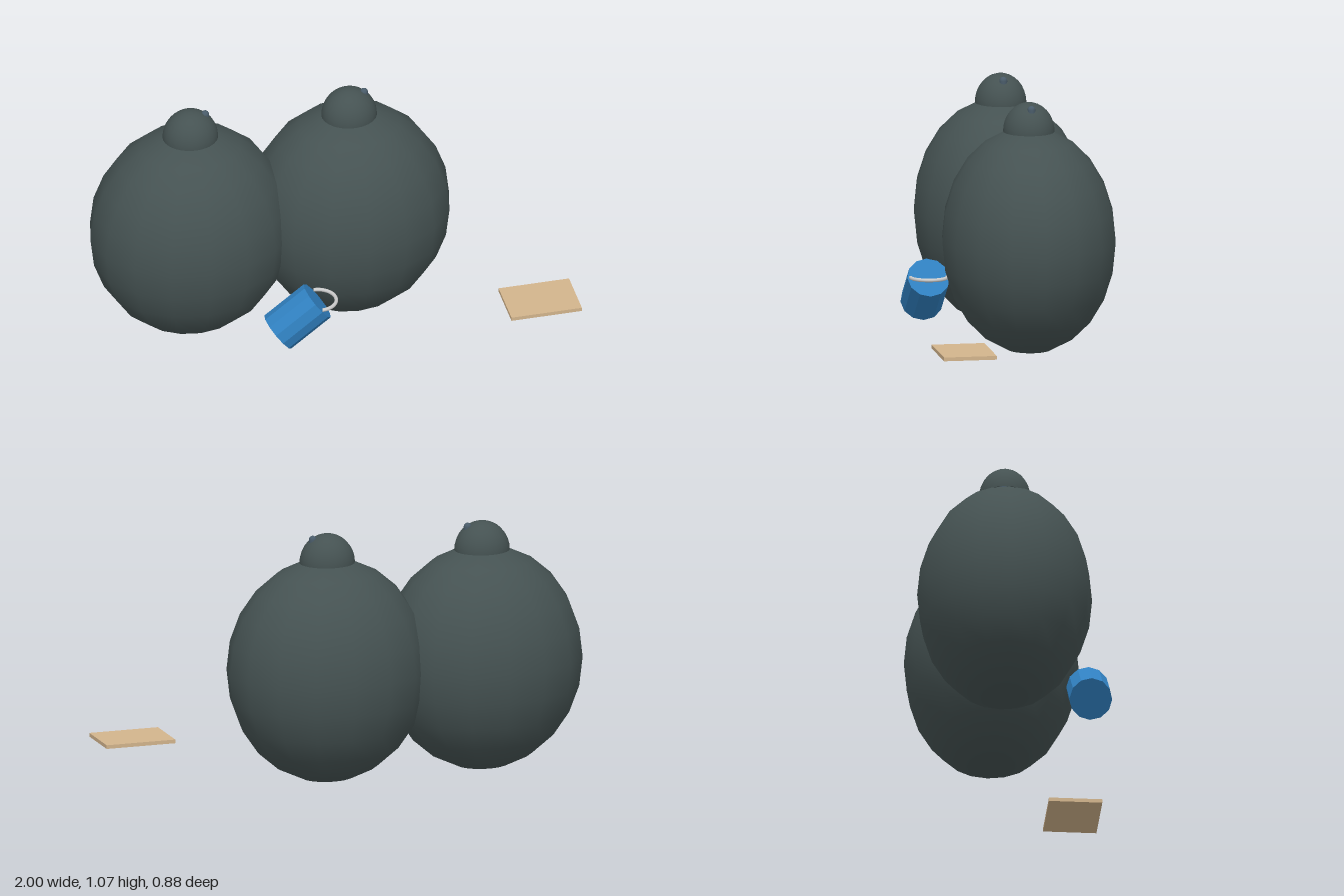
import * as THREE from 'three';

const DARK = 0x455252, KNOB = 0x4a5c6a, BLUE = 0x3080c0, TAN = 0xd2b48c, GREY = 0xcccccc;

function add(parent, name, geometry, color, options = {}) {
  const mesh = new THREE.Mesh(geometry, new THREE.MeshStandardMaterial({ color, ...options }));
  mesh.name = name;
  parent.add(mesh);
  return mesh;
}

// Egg-shaped vessel with a domed cap and a tiny rounded knob
function makeVessel(x) {
  const vessel = new THREE.Group();
  vessel.name = 'vessel';
  vessel.position.set(x, 0, -0.072);

  const body = add(vessel, 'body', new THREE.SphereGeometry(1, 16, 12), DARK);
  body.scale.set(0.432, 0.481, 0.369);
  body.position.y = 0.481;

  const dome = add(vessel, 'dome',
    new THREE.SphereGeometry(1, 24, 8, 0, Math.PI * 2, 0, Math.PI / 2), DARK, { side: THREE.DoubleSide });
  dome.scale.set(0.118, 0.124, 0.1085);
  dome.position.y = 0.945;

  const knob = add(vessel, 'knob', new THREE.CapsuleGeometry(0.017, 0.03, 4, 10), KNOB);
  knob.position.set(0.064, 1.033, 0);
  return vessel;
}

export function createModel() {
  const model = new THREE.Group();
  model.name = 'model';

  for (const x of [-0.568, 0.12]) model.add(makeVessel(x));

  // Tilted can, its upper end pointing to +x
  const tilt = THREE.MathUtils.degToRad(37.5);
  const can = add(model, 'can', new THREE.CylinderGeometry(0.09, 0.09, 0.215, 12), BLUE, { flatShading: true });
  can.position.set(-0.2, 0.224, 0.315);
  can.rotation.z = tilt - Math.PI / 2;

  // Level half-ring handle rising from the can's upper end
  const handle = add(model, 'handle', new THREE.TorusGeometry(0.078, 0.008, 8, 16, Math.PI), GREY);
  handle.geometry.rotateZ(-Math.PI / 2).rotateX(Math.PI / 2);
  handle.position.set(-0.112, 0.292, 0.314);

  // Flat board to the side
  const board = add(model, 'board', new THREE.BoxGeometry(0.305, 0.016, 0.225), TAN);
  board.position.set(0.8475, 0.146, 0.331);

  return model;
}
